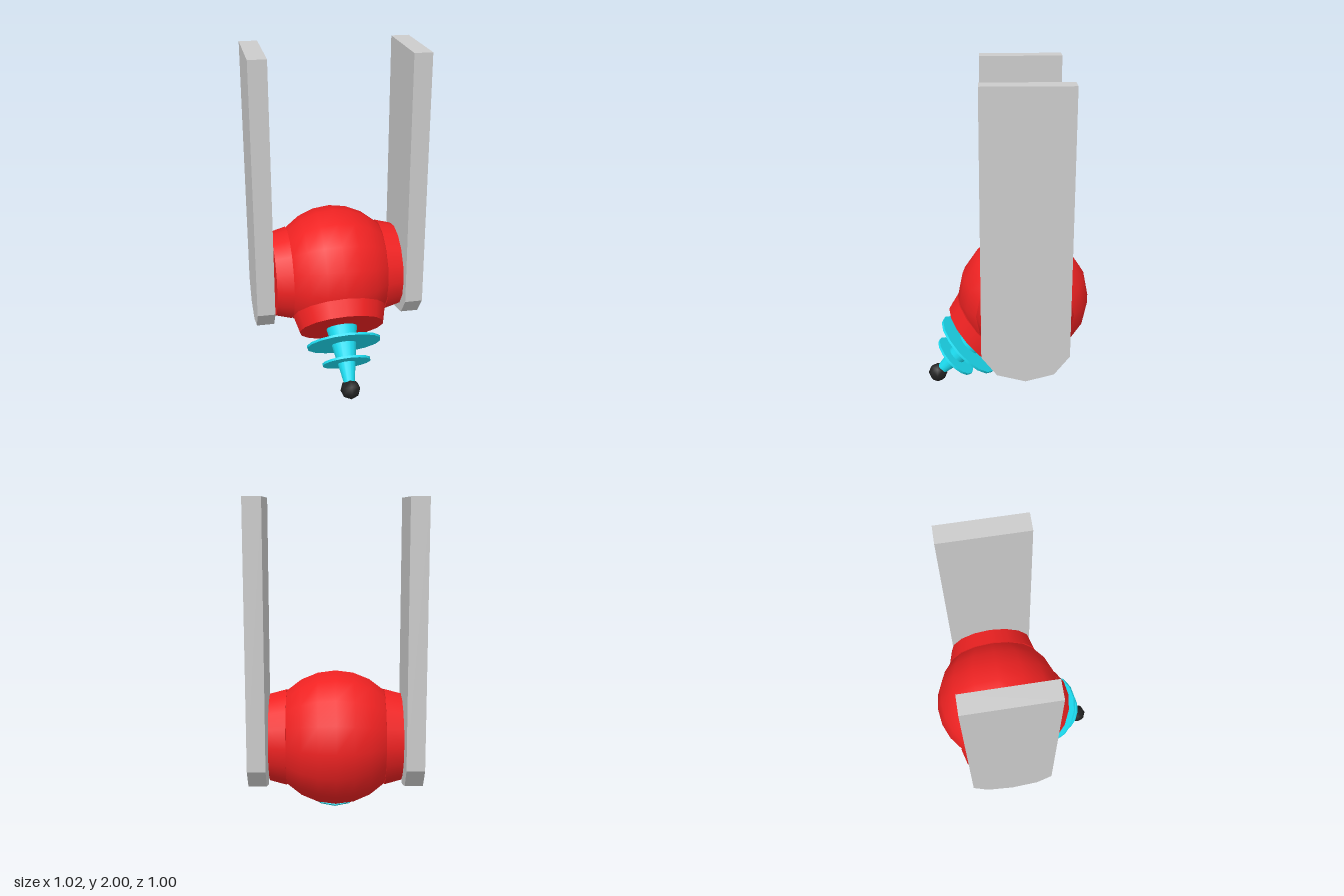
import * as THREE from 'three';

const paint = (color) => new THREE.MeshStandardMaterial({ color });

function part(name, geometry, material, parent) {
  const mesh = new THREE.Mesh(geometry, material);
  mesh.name = name;
  parent.add(mesh);
  return mesh;
}

// Frustum along +y, from y0 (radius r0) to y1 (radius r1)
function frustum(r0, r1, y0, y1) {
  return new THREE.CylinderGeometry(r1, r0, y1 - y0, 16).translate(0, (y0 + y1) / 2, 0);
}

// Sphere with its poles on the x axis
function ball(radius, around, rings) {
  return new THREE.SphereGeometry(radius, around, rings).rotateZ(-Math.PI / 2);
}

export function createModel() {
  const model = new THREE.Group();
  model.name = 'turret';
  const red = paint(0xf02222);
  const cyan = paint(0x1cdcf0);
  const black = paint(0x222222);
  const grey = paint(0xcccccc);

  // Round body with a collar on each side
  const body = new THREE.Group();
  body.name = 'body';
  body.position.set(0, 0.6, -0.1);
  model.add(body);
  part('bodySphere', ball(0.4, 16, 12), red, body);
  for (const side of [1, -1]) {
    const collar = part(side > 0 ? 'leftCollar' : 'rightCollar',
      frustum(0.287, 0.26, 0.287, 0.387), red, body);
    collar.rotation.z = -side * Math.PI / 2;
  }

  // Barrel assembly, pointing forwards and down at 45 degrees
  const barrel = new THREE.Group();
  barrel.name = 'barrel';
  barrel.rotation.x = Math.PI * 0.75;
  body.add(barrel);
  part('barrelCollar', frustum(0.287, 0.26, 0.285, 0.385), red, barrel);
  part('barrelCone', frustum(0.1, 0.03, 0.36, 0.74), cyan, barrel);
  part('largeDisc', frustum(0.227, 0.227, 0.474, 0.488), cyan, barrel);
  part('smallDisc', frustum(0.147, 0.147, 0.591, 0.605), cyan, barrel);
  const tip = part('barrelTip', ball(0.06, 8, 4), black, barrel);
  tip.position.y = 0.763;
  tip.rotation.x = -Math.PI * 0.75;

  // Hanging support arms with rounded lower ends, drawn in (z, y)
  const profile = [
    [0.157, 2], [-0.347, 2], [-0.347, 0.456], [-0.258, 0.34],
    [-0.095, 0.297], [0.068, 0.34], [0.157, 0.456],
  ];
  const outline = new THREE.Shape(profile.map(([z, y]) => new THREE.Vector2(-z, y)));
  const armGeometry = new THREE.ExtrudeGeometry(outline, { depth: 0.107, bevelEnabled: false })
    .translate(0, 0, -0.0535)
    .rotateY(Math.PI / 2);
  for (const side of [1, -1]) {
    const arm = part(side > 0 ? 'leftArm' : 'rightArm', armGeometry, grey, model);
    arm.position.x = side * 0.4565;
  }

  return model;
}
